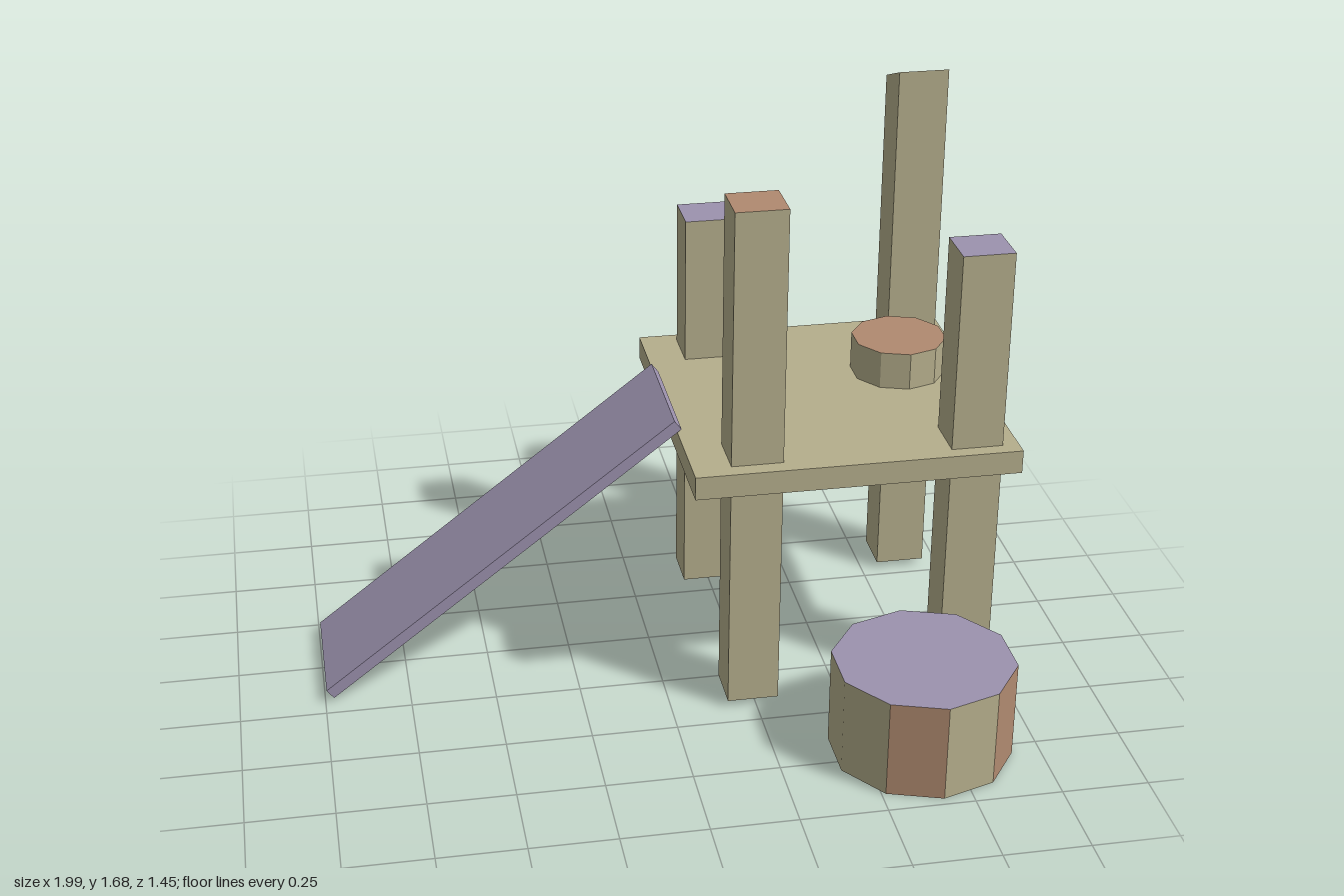
import * as THREE from 'three';

const paint = (color) => new THREE.MeshStandardMaterial({ color, flatShading: true, side: THREE.DoubleSide });

export function createModel() {
  const model = new THREE.Group();
  const wood = paint(0xb5ae8c), violet = paint(0x9c92ae), clay = paint(0xb08a70);

  function add(parent, name, geometry, material) {
    const mesh = new THREE.Mesh(geometry, material);
    mesh.name = name;
    parent.add(mesh);
    return mesh;
  }

  // Keeps only the faces whose index ranges [start, end) are listed
  function pick(geometry, ...ranges) {
    const index = Array.from(geometry.index.array);
    const part = geometry.clone();
    part.clearGroups();
    part.setIndex(ranges.flatMap(([a, b]) => index.slice(a, b)));
    return part;
  }

  // Square post with an open foot and a coloured top; slope tilts the top down towards the back
  function addPost(name, x, z, top, topMaterial, slope = 0) {
    const foot = 0.02, w = 0.15, d = 0.143;
    const geometry = new THREE.BoxGeometry(w, top - foot, d);
    geometry.translate(0, (top + foot) / 2, 0);
    const p = geometry.attributes.position;
    for (let i = 0; i < p.count; i++) {
      if (p.getY(i) > 0.5 && p.getZ(i) < 0) p.setY(i, top - slope);
    }
    const post = new THREE.Group();
    post.name = name;
    post.position.set(x, 0, z);
    add(post, 'postSides', pick(geometry, [0, 12], [24, 36]), wood);
    add(post, 'postTop', pick(geometry, [12, 18]), topMaterial);
    model.add(post);
  }

  // Ten-sided drum; the listed side faces are clay coloured
  function addDrum(name, radius, height, x, y, z, topMaterial, claySides = []) {
    const n = 10;
    const geometry = new THREE.CylinderGeometry(radius, radius, height, n);
    const drum = new THREE.Group();
    drum.name = name;
    drum.position.set(x, y + height / 2, z);
    const range = (i) => [i * 6, i * 6 + 6];
    const sides = Array.from({ length: n }, (_, i) => i);
    const plain = sides.filter((i) => !claySides.includes(i));
    add(drum, 'drumSides', pick(geometry, ...plain.map(range), [n * 9, n * 12]), wood);
    if (claySides.length) add(drum, 'drumPanels', pick(geometry, ...claySides.map(range)), clay);
    add(drum, 'drumTop', pick(geometry, [n * 6, n * 9]), topMaterial);
    model.add(drum);
  }

  // Platform
  add(model, 'platform', new THREE.BoxGeometry(0.945, 0.07, 0.945), wood).position.set(0.5265, 0.764, -0.253);

  // Four corner posts of different heights
  addPost('frontRightPost', 0.24, 0.099, 1.56, clay);
  addPost('frontLeftPost', 0.876, 0.105, 1.39, violet);
  addPost('backRightPost', 0.24, -0.614, 1.25, violet);
  addPost('backLeftPost', 0.876, -0.614, 1.677, violet, 0.055);

  // Slide ramp
  const slide = add(model, 'slide', new THREE.BoxGeometry(1.311, 0.034, 0.39), violet);
  slide.position.set(-0.465, 0.426, -0.252);
  slide.rotation.z = Math.atan2(0.798, 1.04);

  // Step drum on the ground and stool on the platform
  addDrum('stepDrum', 0.263, 0.295, 0.667, 0, 0.461, violet, [1, 9]);
  addDrum('stool', 0.142, 0.113, 0.785, 0.799, -0.365, clay);

  return model;
}
